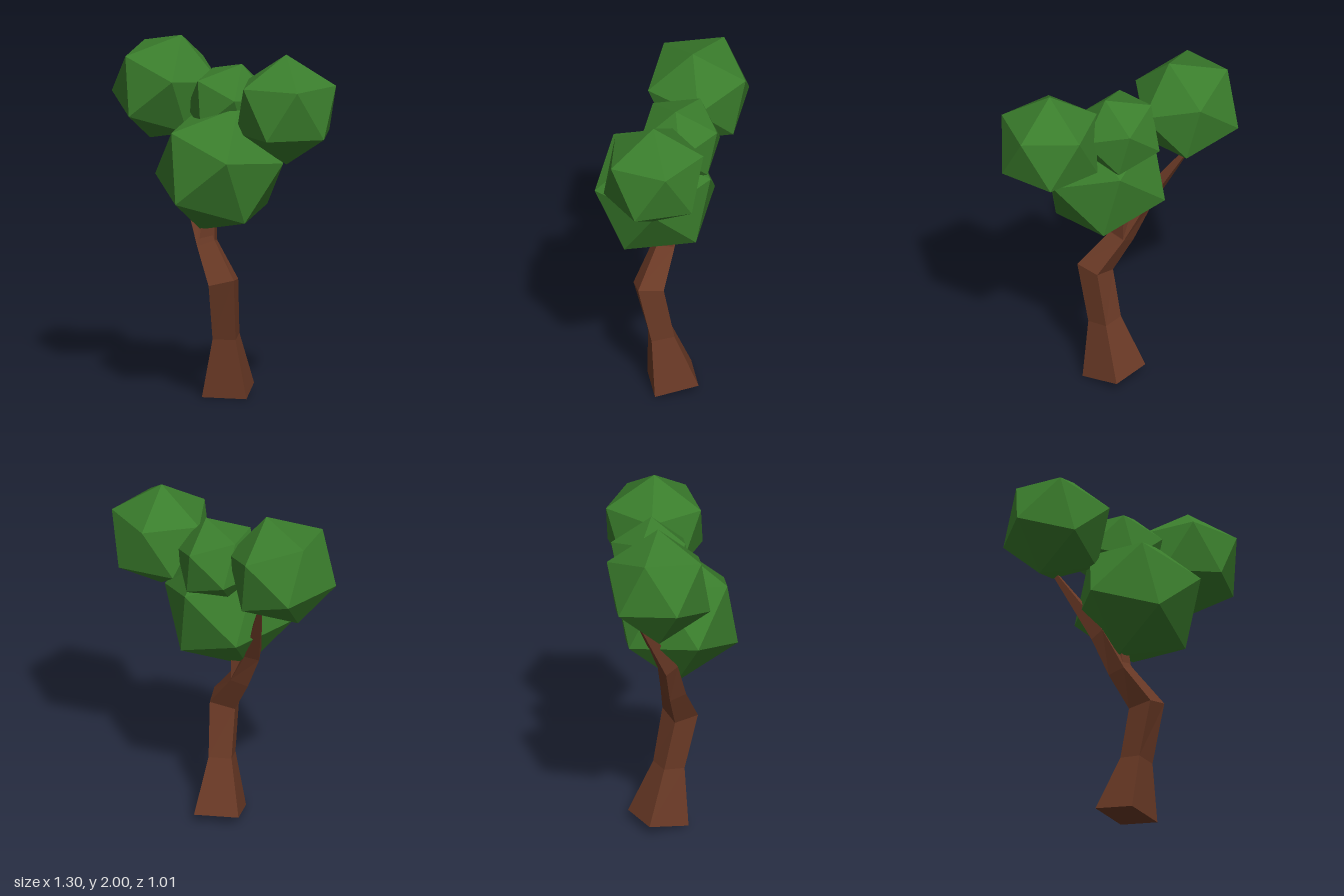
import * as THREE from 'three';

const V = (x, y, z) => new THREE.Vector3(x, y, z);
const bark = new THREE.MeshStandardMaterial({ color: 0x6b3a26, flatShading: true });
const leaf = new THREE.MeshStandardMaterial({ color: 0x3a7d2c, flatShading: true });

// Orthonormal frame from two directions
function frame(a, b) {
  const x = a.clone().normalize();
  const z = x.clone().cross(b).normalize();
  return new THREE.Matrix4().makeBasis(x, z.clone().cross(x), z);
}

// Icosahedral leaf clump, turned so two neighbouring corners point along a and b
function clump(name, center, radius, a, b) {
  const t = (1 + Math.sqrt(5)) / 2;
  const geo = new THREE.IcosahedronGeometry(radius, 0);
  geo.applyMatrix4(frame(a, b).multiply(frame(V(-1, t, 0), V(1, t, 0)).transpose()));
  geo.translate(center.x, center.y, center.z);
  const mesh = new THREE.Mesh(geo, leaf);
  mesh.name = name;
  return mesh;
}

// Square-section limb through rings of [x, y, z, half width, pitch, roll]
function limb(name, rings) {
  const corners = rings.map(([x, y, z, h, pitch, roll]) =>
    [[-1, 1], [1, 1], [1, -1], [-1, -1]].map(([sx, sz]) =>
      V(sx * h, 0, sz * h).applyEuler(new THREE.Euler(pitch, -0.08, roll)).add(V(x, y, z))));
  const points = [];
  const quad = (a, b, c, d) => points.push(a, b, c, a, c, d);
  for (let i = 0; i < corners.length - 1; i++) {
    for (let j = 0; j < 4; j++) {
      const k = (j + 1) % 4;
      quad(corners[i][j], corners[i][k], corners[i + 1][k], corners[i + 1][j]);
    }
  }
  const base = corners[0], tip = corners[corners.length - 1];
  quad(base[3], base[2], base[1], base[0]);
  quad(tip[0], tip[1], tip[2], tip[3]);
  const geo = new THREE.BufferGeometry().setFromPoints(points);
  geo.computeVertexNormals();
  const mesh = new THREE.Mesh(geo, bark);
  mesh.name = name;
  return mesh;
}

export function createModel() {
  const tree = new THREE.Group();
  tree.name = 'tree';

  // Crooked trunk running out into the long back branch
  tree.add(limb('trunk', [
    [0.025, 0.027, 0.04, 0.126, 0.2, 0],
    [0.02, 0.345, 0.107, 0.065, 0.15, 0],
    [0.012, 0.662, 0.177, 0.073, -0.1, 0.23],
    [-0.088, 0.86, 0.067, 0.052, -0.2, 0.35],
    [-0.165, 1.07, -0.02, 0.042, -0.5, 0.25],
    [-0.225, 1.46, -0.262, 0.013, -0.5, 0.15],
  ]));

  // Short fork into the lower clump
  tree.add(limb('forkBranch', [
    [-0.085, 0.86, 0.065, 0.045, -0.1, 0.2],
    [-0.075, 1.05, 0.05, 0.034, 0, 0],
    [0, 1.3, 0.12, 0.015, 0.2, -0.2],
  ]));

  // Leaf clumps: three share one tilt, the last stands upright
  const a = V(0.29, 0.94, 0.175), b = V(0.19, 0.225, 0.955);
  tree.add(
    clump('lowerLeaves', V(-0.015, 1.3, 0.135), 0.382, a, b),
    clump('backRightLeaves', V(-0.345, 1.7, -0.198), 0.322, a, b),
    clump('middleLeaves', V(0.03, 1.64, 0), 0.253, a, b),
    clump('leftLeaves', V(0.37, 1.66, 0.237), 0.312, V(0, 1, 0), V(2, 1, 0)),
  );
  return tree;
}
